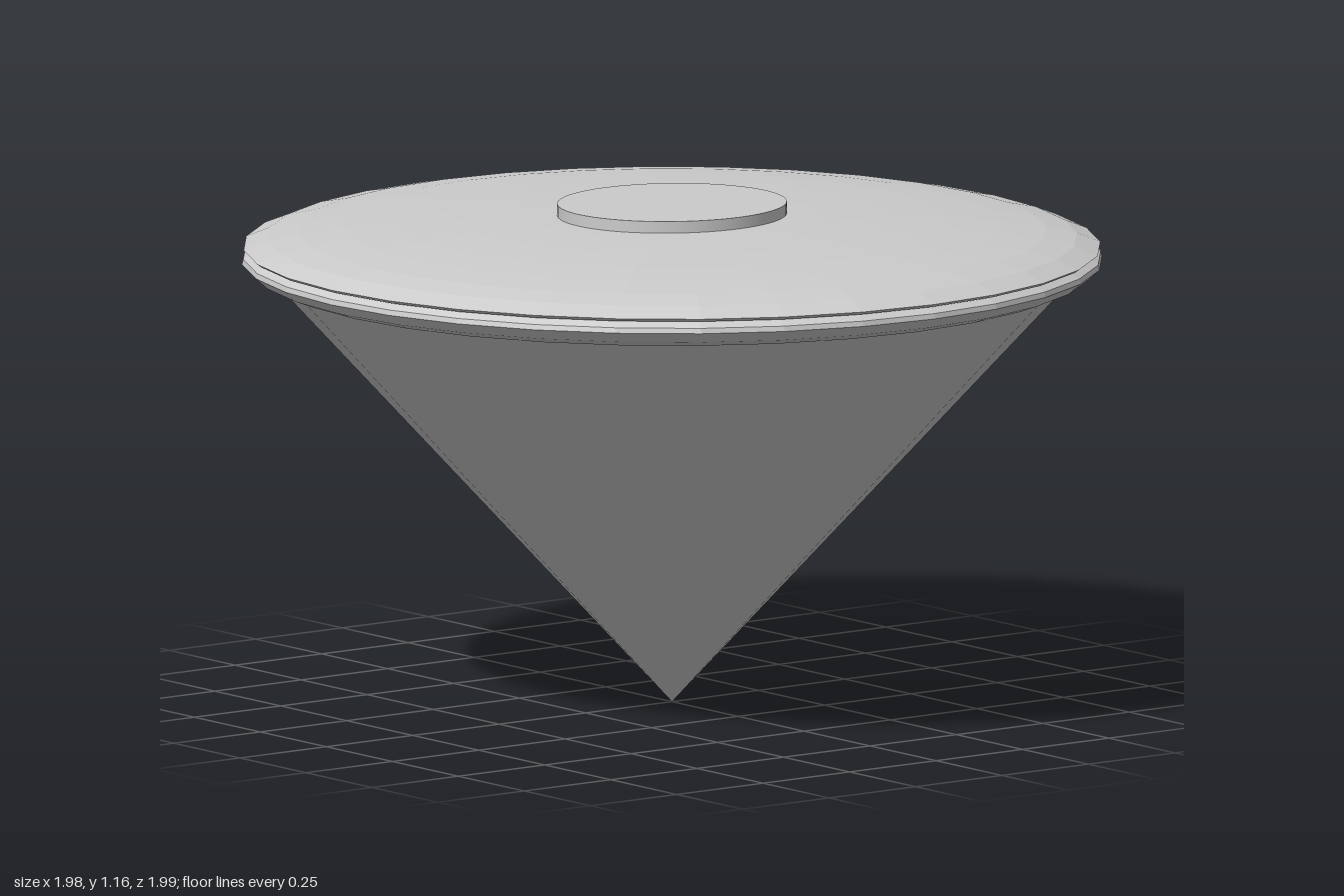
import * as THREE from 'three';

const flat = new THREE.MeshStandardMaterial({ color: 0xcccccc, flatShading: true });
const smooth = new THREE.MeshStandardMaterial({ color: 0xcccccc });

// Turned part from a [radius, height] profile, listed bottom to top along the outside
function turned(name, profile, sides) {
  const points = profile.map(([r, y]) => new THREE.Vector2(r, y));
  const mesh = new THREE.Mesh(new THREE.LatheGeometry(points, sides), flat);
  mesh.name = name;
  return mesh;
}

export function createModel() {
  const group = new THREE.Group();
  group.name = 'spinningTop';

  // Pointed faceted body
  group.add(turned('coneBody', [[0, 0], [0.93, 1.01]], 24));

  // Rounded band around the widest part
  group.add(turned('rimBand', [
    [0.88, 0.99], [0.92, 0.99], [0.96, 1.005], [0.988, 1.03],
    [0.985, 1.042], [0.965, 1.054], [0.93, 1.056],
  ], 32));

  // Shallow dome lid with a thin lip
  const dome = [[0.93, 1.054], [0.975, 1.056], [0.984, 1.063]];
  for (const r of [0.93, 0.86, 0.76, 0.64, 0.5, 0.34, 0.17, 0]) {
    dome.push([r, 1.066 + 0.075 * Math.sqrt(1 - (r / 0.96) ** 2)]);
  }
  group.add(turned('domeLid', dome, 32));

  // Flat round button on top
  const button = new THREE.Mesh(new THREE.CylinderGeometry(0.27, 0.27, 0.045, 64), smooth);
  button.name = 'topButton';
  button.position.y = 1.1425;
  button.scale.z = 0.94;
  group.add(button);

  // Slightly oval plan
  for (const part of group.children) if (part !== button) part.scale.z = 1.008;
  return group;
}
